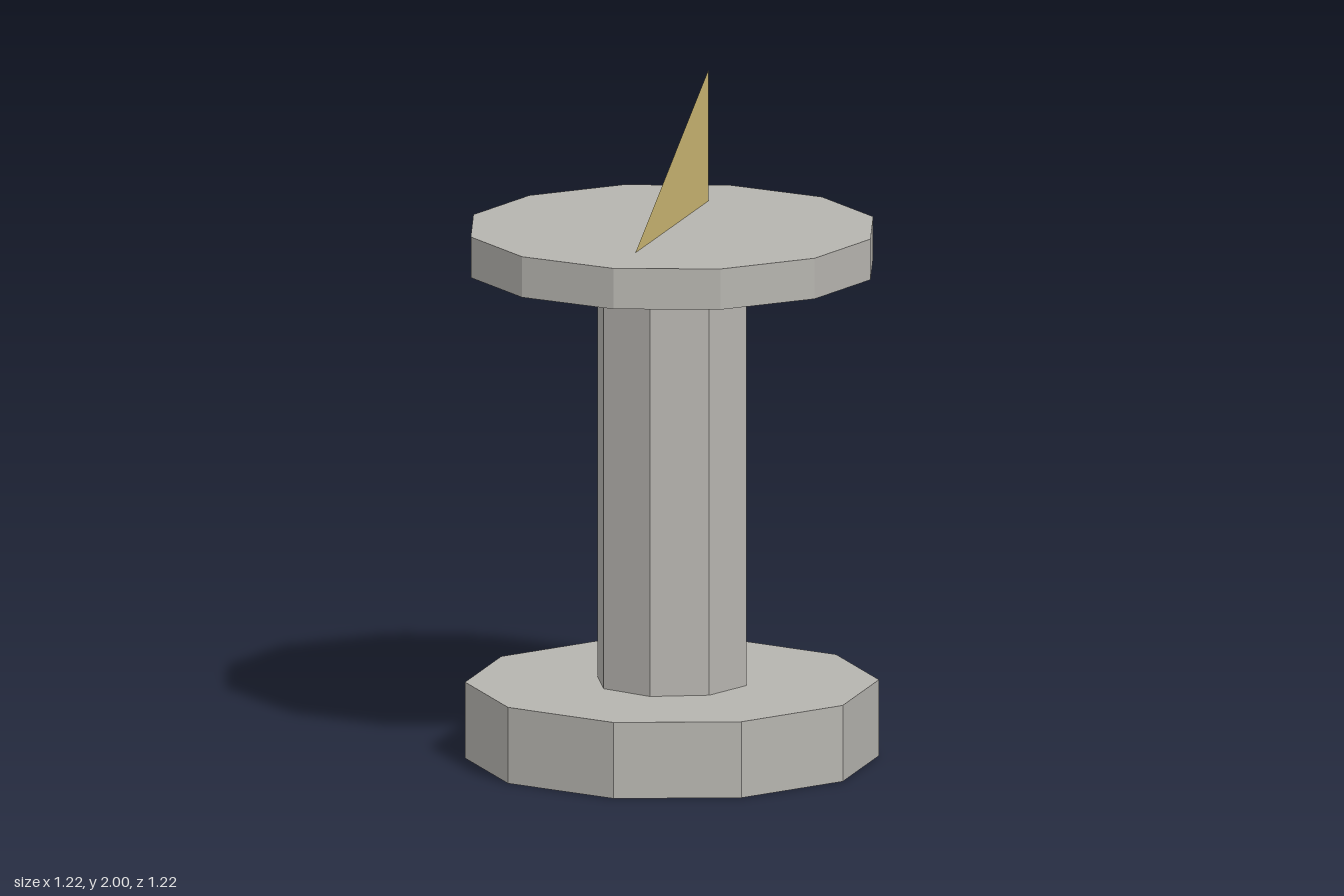
import * as THREE from 'three';

const stone = new THREE.MeshStandardMaterial({ color: 0xb6b4af, flatShading: true });
stone.name = 'stone';
const brass = new THREE.MeshStandardMaterial({ color: 0xccb772, side: THREE.DoubleSide });
brass.name = 'brass';

// Faceted drum standing on y = bottom, with one corner towards +z
function drum(name, radius, bottom, top, sides) {
  const geometry = new THREE.CylinderGeometry(radius, radius, top - bottom, sides);
  const mesh = new THREE.Mesh(geometry, stone);
  mesh.name = name;
  mesh.position.y = (bottom + top) / 2;
  return mesh;
}

export function createModel() {
  const model = new THREE.Group();
  model.name = 'sundial';

  // Pedestal and dial plate
  model.add(drum('base', 0.612, 0, 0.23, 10));
  model.add(drum('column', 0.23, 0.23, 1.48, 8));
  model.add(drum('dialPlate', 0.612, 1.48, 1.603, 12));

  // Thin upright triangular pointer, rising towards the back
  const outline = new THREE.Shape([
    new THREE.Vector2(-0.383, 0),
    new THREE.Vector2(0.383, 0),
    new THREE.Vector2(0.383, 0.397),
  ]);
  const pointer = new THREE.Mesh(new THREE.ShapeGeometry(outline), brass);
  pointer.name = 'pointer';
  pointer.rotation.y = Math.PI / 2;
  pointer.position.y = 1.603;
  model.add(pointer);

  return model;
}
